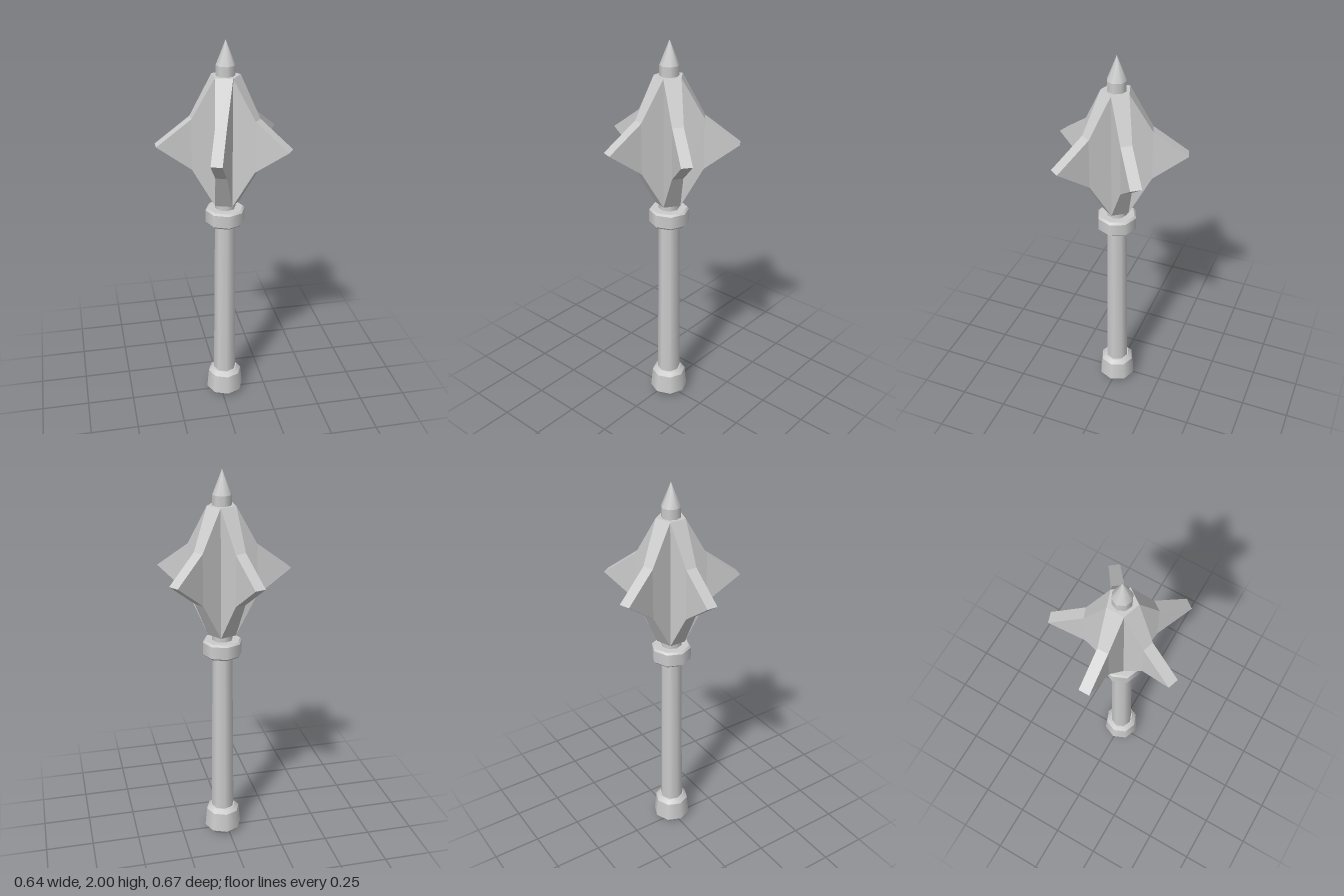
import * as THREE from 'three';

const AXIS_X = 0.022;
const material = new THREE.MeshStandardMaterial({ color: 0xcccccc });
const flat = new THREE.MeshStandardMaterial({ color: 0xcccccc, flatShading: true });

// Eight-sided turned part: each band is smooth around, with a sharp edge between bands
function turned(name, profile) {
  const group = new THREE.Group();
  group.name = name;
  for (let i = 0; i < profile.length - 1; i++) {
    const pts = [profile[i], profile[i + 1]].map(([r, y]) => new THREE.Vector2(r, y));
    const band = new THREE.Mesh(new THREE.LatheGeometry(pts, 8), material);
    band.name = name + 'Band' + (i + 1);
    group.add(band);
  }
  return group;
}

// Non-indexed geometry from convex polygons, corners counter-clockwise from outside
function fromPolygons(polygons) {
  const pos = [];
  for (const p of polygons)
    for (let i = 1; i < p.length - 1; i++) pos.push(...p[0], ...p[i], ...p[i + 1]);
  const g = new THREE.BufferGeometry();
  g.setAttribute('position', new THREE.Float32BufferAttribute(pos, 3));
  g.computeVertexNormals();
  return g;
}

const LOW = 1.17, HIGH = 1.83, CORE_R = 0.074;
const rootR = CORE_R * Math.cos(Math.PI / 5), rootHalf = CORE_R * Math.sin(Math.PI / 5);

// One flange pointing along +x: outline stations are [radius, height, half thickness]
function flangeGeometry() {
  const rim = [
    [rootR, LOW, rootHalf], [0.172, 1.37, 0.028], [0.345, 1.5, 0.028],
    [0.172, 1.63, 0.028], [rootR, HIGH, rootHalf],
  ];
  const front = rim.map(([r, y, h]) => [r, y, h]);
  const back = rim.map(([r, y, h]) => [r, y, -h]);
  const polygons = [
    [front[0], front[1], front[3], front[4]], [front[1], front[2], front[3]],
    [back[4], back[3], back[1], back[0]], [back[3], back[2], back[1]],
  ];
  for (let i = 0; i < 4; i++) polygons.push([front[i], back[i], back[i + 1], front[i + 1]]);
  return fromPolygons(polygons);
}

export function createModel() {
  const model = new THREE.Group();
  model.name = 'mace';
  const body = new THREE.Group();
  body.name = 'maceBody';
  body.position.x = AXIS_X;
  model.add(body);

  // Handle from the pommel up to the collar
  body.add(turned('pommel', [[0, 0], [0.078, 0], [0.1, 0.025], [0.09, 0.13], [0.068, 0.152], [0.058, 0.152]]));
  body.add(turned('shaft', [[0.061, 0.14], [0.053, 1.07]]));
  body.add(turned('collar', [[0.05, 1.055], [0.092, 1.055], [0.102, 1.065], [0.102, 1.13], [0.092, 1.14], [0.05, 1.14]]));
  body.add(turned('neck', [[0.053, 1.135], [0.053, 1.175]]));

  // Five-sided core with its end caps
  const core = new THREE.Mesh(new THREE.CylinderGeometry(CORE_R, CORE_R, HIGH - LOW, 5), flat);
  core.name = 'headCore';
  core.position.y = (LOW + HIGH) / 2;
  core.rotation.y = Math.PI / 2;
  body.add(core);

  // Ring of five flanges
  const flange = flangeGeometry();
  for (let i = 0; i < 5; i++) {
    const mesh = new THREE.Mesh(flange, flat);
    mesh.name = 'flange' + (i + 1);
    mesh.rotation.y = Math.PI + (i * Math.PI * 2) / 5;
    body.add(mesh);
  }

  // Top spike
  body.add(turned('spike', [[0.048, 1.82], [0.048, 1.88], [0, 2]]));
  return model;
}
